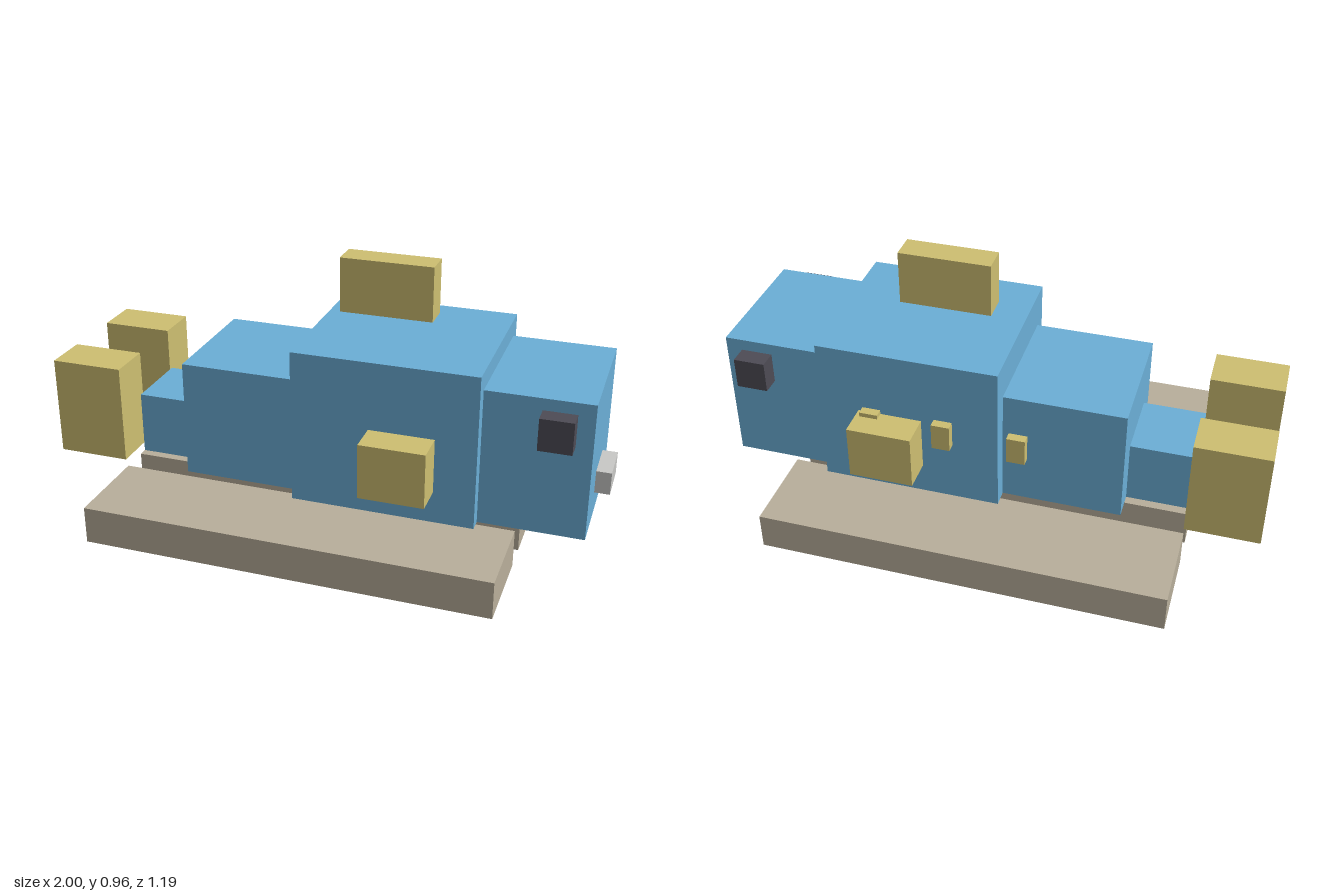
import * as THREE from 'three';

const material = (name, color) => {
  const m = new THREE.MeshStandardMaterial({ color });
  m.name = name;
  return m;
};

export function createModel() {
  const model = new THREE.Group();
  model.name = 'blockFish';

  const blue = material('bodyBlue', 0x6cb0d8);
  const yellow = material('finYellow', 0xcfc072);
  const tan = material('plankTan', 0xbab09c);
  const dark = material('eyeDark', 0x4e4c56);
  const grey = material('mouthGrey', 0xcacac8);

  // Box given by its extents along x, y and z
  function block(name, mat, [x0, x1], [y0, y1], [z0, z1]) {
    const mesh = new THREE.Mesh(new THREE.BoxGeometry(x1 - x0, y1 - y0, z1 - z0), mat);
    mesh.position.set((x0 + x1) / 2, (y0 + y1) / 2, (z0 + z1) / 2);
    mesh.name = name;
    model.add(mesh);
  }

  // Same block on the front (+z) and back (-z) sides
  function pair(name, mat, x, y, [z0, z1]) {
    block(name + 'Front', mat, x, y, [z0, z1]);
    block(name + 'Back', mat, x, y, [-z1, -z0]);
  }

  // Body, from nose to tail
  block('head', blue, [0.58, 0.947], [0.135, 0.63], [-0.248, 0.248]);
  block('torso', blue, [-0.075, 0.58], [0.135, 0.695], [-0.297, 0.297]);
  block('rearBody', blue, [-0.508, -0.075], [0.135, 0.565], [-0.234, 0.234]);
  block('tailBase', blue, [-0.737, -0.508], [0.135, 0.368], [-0.132, 0.132]);

  // Fins
  block('dorsalFin', yellow, [0.02, 0.353], [0.763, 0.96], [-0.05, 0.05]);
  pair('sideFin', yellow, [0.203, 0.435], [0.25, 0.449], [0.297, 0.414]);
  pair('tailFin', yellow, [-1, -0.737], [0.168, 0.53], [0.115, 0.28]);

  // Small scales along the back side
  for (const x of [-0.18, 0.09, 0.353]) {
    block('scale', yellow, [x, x + 0.066], [0.366, 0.465], [-0.33, -0.297]);
  }

  // Face
  pair('eye', dark, [0.775, 0.889], [0.474, 0.588], [0.248, 0.314]);
  block('mouth', grey, [0.947, 1], [0.228, 0.31], [-0.082, 0.082]);

  // Base planks
  block('middlePlank', tan, [-0.737, 0.715], [0, 0.135], [-0.165, 0.165]);
  pair('outerPlank', tan, [-0.737, 0.715], [0, 0.135], [0.265, 0.595]);

  return model;
}
